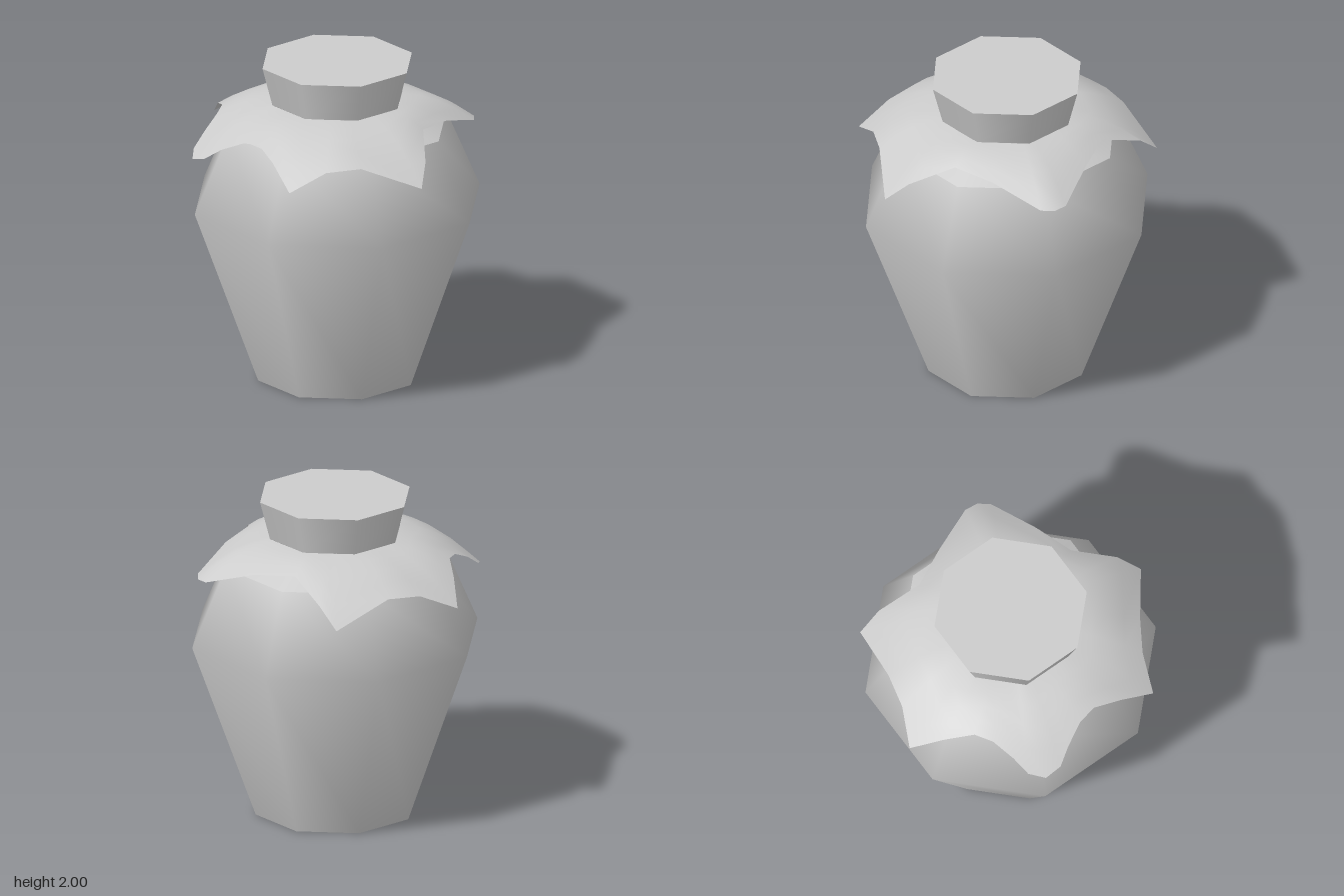
import * as THREE from 'three';

export function createModel() {
  const group = new THREE.Group();
  const grey = new THREE.MeshStandardMaterial({ color: 0xcccccc });
  grey.name = 'light grey';
  const clothGrey = grey;
  clothGrey.side = THREE.DoubleSide;

  const add = (name, geometry, y = 0) => {
    const mesh = new THREE.Mesh(geometry, grey);
    mesh.name = name;
    mesh.position.set(0.005, y, 0);
    group.add(mesh);
    return mesh;
  };
  const lathe = (pts) => new THREE.LatheGeometry(pts.map(([r, y]) => new THREE.Vector2(r, y)), 8);

  // Eight-sided jar: smooth wall, creased shoulder, flat base
  add('jarWall', lathe([[0.5, 0], [0.9, 1.11], [0.69, 1.6]]));
  add('jarShoulder', lathe([[0.69, 1.6], [0.41, 1.75]]));
  add('jarBase', new THREE.CircleGeometry(0.5, 8).rotateX(Math.PI / 2));

  // Flared, closed neck
  add('neck', new THREE.CylinderGeometry(0.472, 0.41, 0.24, 8), 1.88);

  // Cloth hem, from the +x tip round the front to the -x tip
  const half = [
    [0.87, 1.55, 0], [0.845, 1.555, 0.08], [0.6, 1.655, 0.3], [0.4, 1.68, 0.47],
    [0.33, 1.575, 0.74], [0.265, 1.455, 0.87], [-0.09, 1.59, 0.78], [-0.3, 1.575, 0.745],
    [-0.535, 1.475, 0.755], [-0.575, 1.6, 0.55], [-0.605, 1.655, 0.37], [-0.67, 1.64, 0.27],
    [-0.78, 1.575, 0.17], [-0.87, 1.5, 0.1], [-0.91, 1.47, 0],
  ];
  const back = half.slice(1, -1).reverse().map(([x, y, z]) => [x, y, -z]);
  const hem = [...half, ...back];
  const n = hem.length, rows = 4;

  // Cloth rows run from the octagonal neck line out to the hem, arched in between
  const positions = [], index = [];
  for (let r = 0; r <= rows; r++) {
    const t = r / rows;
    for (const [x, y, z] of hem) {
      const a = Math.atan2(z, x), step = Math.PI / 4;
      const local = a - Math.floor(a / step) * step - step / 2;
      const inner = 0.412 * Math.cos(step / 2) / Math.cos(local);
      const drop = 1.76 - y;
      positions.push(
        THREE.MathUtils.lerp(inner * Math.cos(a), x - 0.005, t),
        1.76 - drop * t + drop * 0.8 * t * (1 - t),
        THREE.MathUtils.lerp(inner * Math.sin(a), z, t),
      );
    }
  }
  for (let r = 0; r < rows; r++) {
    for (let i = 0; i < n; i++) {
      const j = (i + 1) % n, p = r * n, q = p + n;
      index.push(p + i, p + j, q + i, p + j, q + j, q + i);
    }
  }
  const cloth = new THREE.BufferGeometry();
  cloth.setAttribute('position', new THREE.Float32BufferAttribute(positions, 3));
  cloth.setIndex(index);
  cloth.computeVertexNormals();
  add('clothCover', cloth);

  return group;
}
